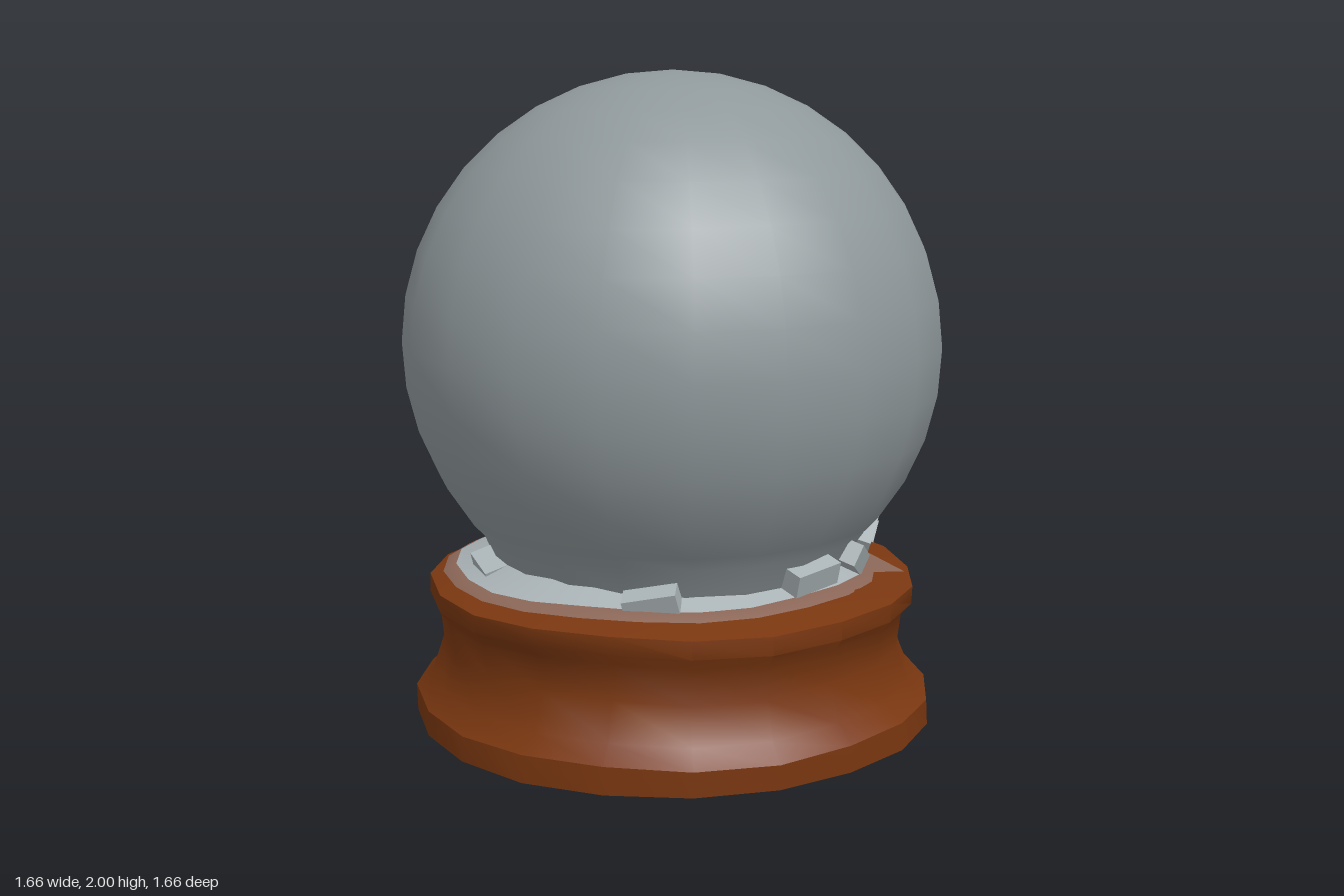
import * as THREE from 'three';
import { toCreasedNormals } from 'three/addons/utils/BufferGeometryUtils.js';

const SEGMENTS = 20;

function material(name, color) {
  const m = new THREE.MeshStandardMaterial({ color, side: THREE.DoubleSide });
  m.name = name;
  return m;
}

// Lathe whose rings wobble in radius and height, as if cut by hand
function wobblyLathe(profile, segments, radial, lift) {
  const points = profile.map(([r, y]) => new THREE.Vector2(r, y));
  const geo = new THREE.LatheGeometry(points, segments);
  const pos = geo.attributes.position;
  for (let i = 0; i < pos.count; i++) {
    const x = pos.getX(i), y = pos.getY(i), z = pos.getZ(i);
    if (Math.hypot(x, z) < 0.01) continue;
    const a = Math.atan2(z, x);
    const s = 1 + radial * (Math.sin(3 * a + y * 9) + 0.6 * Math.sin(7 * a));
    const dy = y > 0.05 ? lift * Math.sin(5 * a + 1) : 0;
    pos.setXYZ(i, x * s, y + dy, z * s);
  }
  return geo;
}

export function createModel() {
  const wood = material('brown wood', 0x7a3710);
  const glass = material('grey glass', 0x8f989b);
  const snow = material('pale snow', 0xa9b2b5);
  const melt = material('brownish slush', 0x8a6657);

  const model = new THREE.Group();
  model.name = 'snowGlobe';
  const add = (name, geo, mat) => {
    const mesh = new THREE.Mesh(geo, mat);
    mesh.name = name;
    model.add(mesh);
    return mesh;
  };

  // Turned wooden base with a waist, closed below and sloping up to the globe
  const base = wobblyLathe([
    [0, 0.01], [0.81, 0], [0.81, 0.08], [0.755, 0.13], [0.715, 0.24],
    [0.725, 0.35], [0.755, 0.385], [0.755, 0.44], [0.6, 0.475], [0.45, 0.48],
  ], SEGMENTS, 0.007, 0.005);
  add('base', toCreasedNormals(base, 0.75), wood);

  // Globe: a sphere that flares slightly into its neck
  const profile = [[0.53, 0.46], [0.57, 0.52], [0.605, 0.6]];
  for (let i = 0; i <= 13; i++) {
    const a = THREE.MathUtils.lerp(-0.68, Math.PI / 2, i / 13);
    profile.push([Math.max(0, 0.832 * Math.cos(a)), 1.168 + 0.832 * Math.sin(a)]);
  }
  const globe = new THREE.LatheGeometry(profile.map(([r, y]) => new THREE.Vector2(r, y)), SEGMENTS);
  add('globe', globe, glass);

  // Slush edge and snow bank around the neck, heavier at the back left
  const slush = add('slushEdge', wobblyLathe(
    [[0.675, 0.467], [0.64, 0.485], [0.56, 0.493]], 24, 0.012, 0.003), melt);
  const bank = add('snowBank', wobblyLathe(
    [[0.635, 0.488], [0.6, 0.502], [0.53, 0.535]], 24, 0.016, 0.006), snow);
  for (const m of [slush, bank]) m.position.set(-0.03, 0, -0.025);

  // Slush running over the rim at the front right
  const drip = new THREE.Shape();
  drip.moveTo(-0.13, 0).lineTo(0.13, 0).lineTo(0, 0.13).closePath();
  const run = add('slushDrip', new THREE.ShapeGeometry(drip), melt);
  run.rotation.set(Math.PI / 2 + 0.22, 0, 0);
  const runPivot = new THREE.Group();
  runPivot.name = 'slushDripPivot';
  run.position.set(0, 0.487, 0.6);
  runPivot.rotation.y = 0.75;
  runPivot.add(run);
  model.add(runPivot);

  // Ice chunks leaning on the neck: angle from front towards +x, height, width, tilt
  const chunks = [
    [0.05, 0.545, 0.17, 0.1], [0.45, 0.55, 0.13, -0.5], [0.72, 0.59, 0.16, 0.5],
    [0.92, 0.565, 0.14, -0.3], [1.36, 0.55, 0.15, 0.25], [2.36, 0.57, 0.15, -0.2],
    [3.05, 0.53, 0.14, 0.3], [-0.8, 0.505, 0.16, 0.2], [-1.9, 0.505, 0.13, -0.3],
  ];
  for (const [angle, y, width, tilt] of chunks) {
    const chunk = add('iceChunk', new THREE.BoxGeometry(width, 0.07, 0.08), snow);
    chunk.position.set(0.59 * Math.sin(angle), y, 0.59 * Math.cos(angle));
    chunk.rotation.set(0.3, angle, tilt, 'YXZ');
  }
  return model;
}
